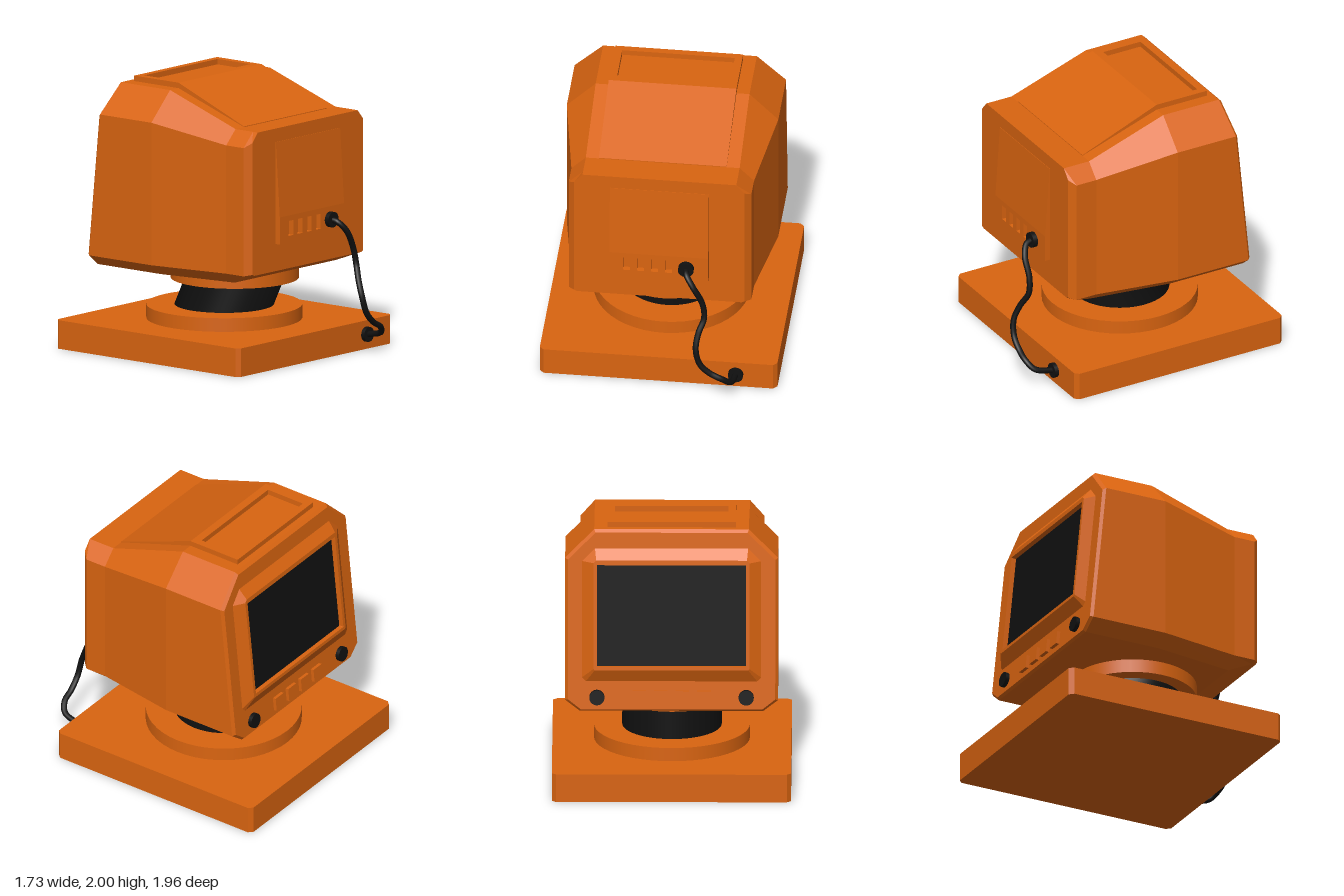
import * as THREE from 'three';

const orange = new THREE.MeshStandardMaterial({ color: 0xd96410, flatShading: true });
const smoothOrange = new THREE.MeshStandardMaterial({ color: 0xd96410 });
const black = new THREE.MeshStandardMaterial({ color: 0x111111 });

function add(parent, name, geometry, material, x = 0, y = 0, z = 0) {
  const mesh = new THREE.Mesh(geometry, material);
  mesh.name = name;
  mesh.position.set(x, y, z);
  parent.add(mesh);
  return mesh;
}

// Skin over closed sections ordered from +z to -z, each counter-clockwise seen from +z
function loft(sections, capped) {
  const n = sections[0].length, last = (sections.length - 1) * n, index = [];
  for (let i = 0; i < last; i += n) {
    for (let j = 0; j < n; j++) {
      const a = i + j, b = i + (j + 1) % n;
      index.push(a, a + n, b, b, a + n, b + n);
    }
  }
  if (capped) {
    for (let j = 1; j < n - 1; j++) index.push(0, j, j + 1, last, last + j + 1, last + j);
  }
  const g = new THREE.BufferGeometry();
  g.setAttribute('position', new THREE.Float32BufferAttribute(sections.flat(2), 3));
  g.setIndex(index);
  const flat = g.toNonIndexed();
  flat.computeVertexNormals();
  return flat;
}

// Eight-sided, left-right symmetric section; z is a number or a function of y
function section(z, bottomX, bottomY, w, lowY, highY, topX, topY) {
  const half = [[bottomX, bottomY], [w, lowY], [w, highY], [topX, topY]];
  const all = [...half, ...half.map(([x, y]) => [-x, y]).reverse()];
  return all.map(([x, y]) => [x, y, typeof z === 'function' ? z(y) : z]);
}

// Rectangle with cut corners
const cutRect = (z, w, y0, y1, low, high) =>
  section(z, w - low, y0, w, y0 + low, y1 - high, w - high, y1);

const polygon = (points) => new THREE.Shape(points.map(([x, y]) => new THREE.Vector2(x, y)));
const rect = (x0, y0, x1, y1) => [[x0, y0], [x1, y0], [x1, y1], [x0, y1]];
const extrude = (shape, depth) => new THREE.ExtrudeGeometry(shape, { depth, bevelEnabled: false });

// Profile in (z, y), extruded across x and centred
const prism = (points, width) =>
  extrude(polygon(points), width).translate(0, 0, -width / 2).rotateY(-Math.PI / 2);
const zDisc = (r, depth) => new THREE.CylinderGeometry(r, r, depth, 24).rotateX(Math.PI / 2);

export function createModel() {
  const model = new THREE.Group();
  model.name = 'monitor';

  // Square base with clipped corners
  const base = polygon(cutRect(0, 0.865, -0.755, 0.98, 0.03, 0.03));
  add(model, 'base', extrude(base, 0.21).rotateX(-Math.PI / 2), orange);

  // Swivel: two discs joined by a leaning neck
  add(model, 'lowerDisc', new THREE.CylinderGeometry(0.565, 0.565, 0.1, 48), smoothOrange, 0, 0.26, -0.11);
  add(model, 'upperDisc', new THREE.CylinderGeometry(0.465, 0.465, 0.1, 48), smoothOrange, 0, 0.57, -0.01);
  const neck = new THREE.CylinderGeometry(0.36, 0.36, 0.21, 48);
  const p = neck.attributes.position;
  for (let i = 0; i < p.count; i++) p.setZ(i, p.getZ(i) + p.getY(i) / 0.21 * 0.1);
  add(model, 'neck', neck, black, 0, 0.415, -0.06);

  // Housing, tapering away from the leaning screen face
  const face = (y) => -0.635 - (1.96 - y) * 0.1;
  add(model, 'housing', loft([
    section(0.68, 0.6, 0.7, 0.62, 0.71, 1.68, 0.56, 1.75),
    section(0.635, 0.62, 0.685, 0.665, 0.7, 1.645, 0.56, 1.75),
    section(0.47, 0.57, 0.62, 0.665, 0.7, 1.645, 0.56, 1.75),
    section(-0.15, 0.665, 0.62, 0.77, 0.7, 1.75, 0.56, 1.96),
    section((y) => face(y) + 0.02, 0.665, 0.62, 0.77, 0.7, 1.75, 0.56, 1.96),
    section(face, 0.655, 0.635, 0.75, 0.71, 1.74, 0.55, 1.94),
  ], true), orange);

  // Raised top tray with its sloping tail
  const tray = polygon(rect(-0.465, 0.15, 0.465, 0.57));
  tray.holes.push(polygon(rect(-0.41, 0.21, 0.41, 0.52)));
  add(model, 'topTray', extrude(tray, 0.06).rotateX(-Math.PI / 2), orange, 0, 1.94, 0);
  add(model, 'topSlope', prism([[-0.15, 1.9], [0.47, 1.74], [0.47, 1.755], [-0.15, 2]], 0.93), orange);

  // Connector panel: slotted lower part and a wedge fading into the housing
  const panel = polygon(rect(-0.36, 0.9, 0.36, 1.1));
  for (let i = 0; i < 4; i++) {
    const x = -0.235 + i * 0.102;
    panel.holes.push(polygon(rect(x - 0.027, 0.95, x + 0.027, 1.06)));
  }
  add(model, 'connectorPanel', extrude(panel, 0.05), orange, 0, 0, 0.67);
  add(model, 'connectorWedge', prism([[0.67, 1.1], [0.72, 1.1], [0.683, 1.65], [0.67, 1.65]], 0.72), orange);

  // Screen side, laid out on the leaning face
  const front = new THREE.Group();
  front.name = 'screenFace';
  front.position.z = face(0);
  front.rotation.x = Math.atan(0.1);
  model.add(front);
  add(front, 'bezel', loft([
    cutRect(0.005, 0.655, 0.84, 1.84, 0.03, 0.1),
    cutRect(-0.053, 0.565, 0.94, 1.755, 0.01, 0.02),
    cutRect(-0.053, 0.54, 0.965, 1.72, 0.002, 0.002),
    cutRect(-0.012, 0.54, 0.965, 1.72, 0.002, 0.002),
  ], false), orange);
  add(front, 'screen', new THREE.BoxGeometry(1.09, 0.765, 0.02), black, 0, 1.3425, -0.006);
  for (const x of [-0.54, 0.54]) add(front, 'knob', zDisc(0.055, 0.04), black, x, 0.73, -0.01);
  for (let i = 0; i < 4; i++) {
    add(front, 'button', new THREE.BoxGeometry(0.1, 0.1, 0.05), orange, (i - 1.5) * 0.156, 0.73, 0);
  }

  // Cable with a plug at each end
  add(model, 'upperPlug', zDisc(0.057, 0.045), black, 0.2, 1.005, 0.733);
  add(model, 'lowerPlug', zDisc(0.055, 0.04), black, 0.565, 0.11, 0.765);
  const path = new THREE.CatmullRomCurve3([
    [0.2, 1.005, 0.74], [0.21, 0.99, 0.79], [0.26, 0.92, 0.832], [0.33, 0.78, 0.835],
    [0.345, 0.66, 0.85], [0.31, 0.56, 0.9], [0.295, 0.45, 0.945], [0.325, 0.33, 0.96],
    [0.4, 0.25, 0.96], [0.49, 0.2, 0.955], [0.545, 0.145, 0.91], [0.565, 0.11, 0.77],
  ].map((v) => new THREE.Vector3(...v)));
  add(model, 'cable', new THREE.TubeGeometry(path, 80, 0.022, 10), black);

  return model;
}
